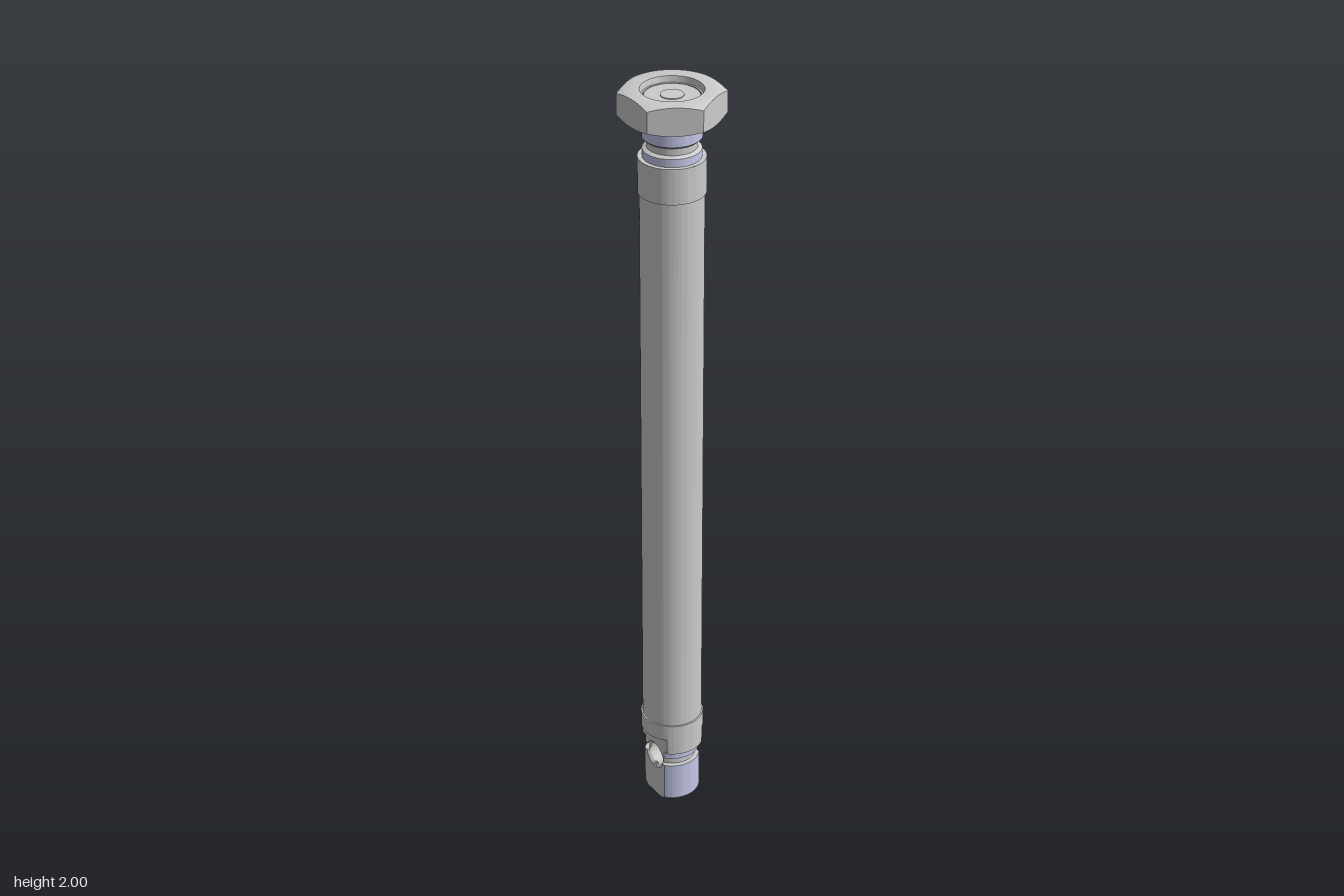
import * as THREE from 'three';
import { toCreasedNormals } from 'three/addons/utils/BufferGeometryUtils.js';
import { ParametricGeometry } from 'three/addons/geometries/ParametricGeometry.js';

const SEG = 96;
const grey = new THREE.MeshStandardMaterial({ color: 0xcccccc, side: THREE.DoubleSide });
const blue = new THREE.MeshStandardMaterial({ color: 0xc4c8e8, side: THREE.DoubleSide });

function add(parent, name, geometry, material = grey) {
  const mesh = new THREE.Mesh(toCreasedNormals(geometry, 0.5), material);
  mesh.name = name;
  parent.add(mesh);
  return mesh;
}

// Lathe whose vertices may be moved by a rule (vertex, index in the profile)
function turned(profile, rule, start = 0, length = Math.PI * 2) {
  const points = profile.map(([r, y]) => new THREE.Vector2(r, y));
  const geometry = new THREE.LatheGeometry(points, SEG, start, length);
  const pos = geometry.attributes.position;
  const v = new THREE.Vector3();
  if (rule) for (let i = 0; i < pos.count; i++) {
    rule(v.fromBufferAttribute(pos, i), i % profile.length);
    pos.setXYZ(i, v.x, v.y, v.z);
  }
  return geometry;
}

// End cap with a threaded air port at the back; optional flats on its lower half
const CAP_R = 0.081, CAP_H = 0.09, FLAT = 0.055, PORT_R = 0.02;
function endCap(name, y0, flats) {
  const cap = new THREE.Group();
  cap.name = name;
  const mid = y0 + CAP_H / 2, y1 = y0 + CAP_H;
  const clamp = (v) => { v.x = THREE.MathUtils.clamp(v.x, -FLAT, FLAT); };
  const half = 0.04, gap = Math.asin(half / CAP_R);
  const wall = [[CAP_R, y0], [CAP_R, mid], [CAP_R, mid], [CAP_R, y1]];
  add(cap, 'capWall', turned(wall, flats && ((v, j) => { if (j < 2) clamp(v); }),
    Math.PI + gap, Math.PI * 2 - 2 * gap));
  add(cap, 'capBottom', turned([[0, y0], [CAP_R, y0]], flats && clamp));
  add(cap, 'capTop', turned([[CAP_R, y1], [0, y1]]));
  // Curved patch running from the port circle out to a rectangle
  add(cap, 'portSurround', new ParametricGeometry((u, t, target) => {
    const side = Math.min(3, Math.floor(u * 4 + 1e-9)), s = (u * 4 - side) * 2 - 1;
    const [a, b] = [[1, s], [-s, 1], [-1, -s], [s, -1]][side];
    const ang = Math.atan2(b, a);
    const x = THREE.MathUtils.lerp(Math.cos(ang) * PORT_R, a * half, t);
    const y = THREE.MathUtils.lerp(Math.sin(ang) * PORT_R, b * CAP_H / 2, t);
    target.set(x, mid + y, -Math.sqrt(CAP_R * CAP_R - x * x));
  }, 64, 6));
  add(cap, 'portBore', new ParametricGeometry((u, t, target) => {
    const x = Math.cos(u * Math.PI * 2) * PORT_R, y = Math.sin(u * Math.PI * 2) * PORT_R;
    target.set(x, mid + y, -THREE.MathUtils.lerp(0.03, Math.sqrt(CAP_R * CAP_R - x * x), t));
  }, 48, 1), blue);
  const floor = add(cap, 'portFloor', new THREE.CircleGeometry(PORT_R, 48));
  floor.position.set(0, mid, -0.03);
  floor.rotation.y = Math.PI;
  return cap;
}

// Flat-sided clevis with a countersunk cross hole, lofted as two mirrored halves
function clevis() {
  const group = new THREE.Group();
  group.name = 'rearClevis';
  const yc = 0.122, N = 32;
  const profile = [[0.064, 0], [0.072, 0.01], [0.072, 0.084], [0.072, 0.092], [0.072, 0.115],
    [0.06, 0.115], [0.06, 0.137], [0.07, 0.137], [0.07, 0.152], [0.07, 0.16]];
  // Half height of the cross hole at a given x and y
  const hole = (x, y) => {
    const R = 0.03 + 0.008 * THREE.MathUtils.clamp((Math.abs(x) - 0.047) / 0.008, 0, 1);
    return Math.sqrt(Math.max(0, R * R - (y - yc) ** 2));
  };
  const rows = [];
  profile.forEach(([r, y], i) => {
    if (i) {
      const [r0, q0] = profile[i - 1], n = Math.max(1, Math.ceil((y - q0) / 0.0025));
      for (let k = 1; k < n; k++) rows.push([r0 + (r - r0) * k / n, q0 + (y - q0) * k / n]);
    }
    rows.push([r, y]);
  });
  const sections = rows.map(([r, y]) => {
    let w = FLAT;
    while (Math.sqrt(r * r - w * w) < hole(w, y)) w -= 0.0002;
    const outer = [], inner = [];
    for (let i = 0; i <= N; i++) {
      const x = w * (2 * i / N - 1);
      outer.push([x, y, Math.sqrt(r * r - x * x)]);
      inner.push([x, y, hole(x, y)]);
    }
    return { r, outer, inner };
  });
  const blueTris = [], greyTris = [];
  const quad = (list, a, b, c, d) => {
    for (const s of [1, -1]) {
      const order = s > 0 ? [a, b, c, a, c, d] : [a, c, b, a, d, c];
      for (const p of order) list.push(p[0], p[1], p[2] * s);
    }
  };
  for (let j = 0; j < sections.length - 1; j++) {
    const A = sections[j], B = sections[j + 1];
    const skin = A.r > 0.065 && B.r > 0.065 ? blueTris : greyTris;
    for (let i = 0; i < N; i++) {
      quad(skin, A.outer[i], A.outer[i + 1], B.outer[i + 1], B.outer[i]);
      if (A.inner[i][2] + B.inner[i][2] + A.inner[i + 1][2] + B.inner[i + 1][2] > 0)
        quad(greyTris, A.inner[i + 1], A.inner[i], B.inner[i], B.inner[i + 1]);
    }
    quad(greyTris, A.outer[N], A.inner[N], B.inner[N], B.outer[N]);
    quad(greyTris, A.inner[0], A.outer[0], B.outer[0], B.inner[0]);
  }
  const base = sections[0];
  for (let i = 0; i < N; i++)
    quad(greyTris, base.inner[i], base.inner[i + 1], base.outer[i + 1], base.outer[i]);
  const build = (tris) => new THREE.BufferGeometry()
    .setAttribute('position', new THREE.Float32BufferAttribute(tris, 3));
  add(group, 'clevisRoundFaces', build(blueTris), blue);
  add(group, 'clevisFlatsAndHole', build(greyTris));
  return group;
}

// Chamfered hexagonal nut: outer lathe vertices pushed out to the hexagon
function hexNut() {
  const across = 0.111, y0 = 1.93, y1 = 2;
  const profile = [[0.068, 1.985], [0.068, y0], [across, y0], [across, y0], [across, y1],
    [across, y1], [0.075, y1], [0.072, 1.985], [0.068, 1.985]];
  return turned(profile, (v, j) => {
    if (j !== 3 && j !== 4) return;
    const sector = Math.PI / 3;
    const ang = (Math.atan2(v.x, v.z) + Math.PI * 2 + 1e-6) % sector - sector / 2;
    const k = 1 / Math.cos(ang), drop = across * (k - 1) * 0.5;
    v.x *= k;
    v.z *= k;
    v.y += j === 3 ? drop : -drop;
  });
}

export function createModel() {
  const model = new THREE.Group();
  model.name = 'pneumaticCylinder';

  // Barrel and end caps
  add(model, 'barrel', new THREE.CylinderGeometry(0.077, 0.077, 1.5, SEG, 1, true)).position.y = 1;
  model.add(endCap('rearCap', 0.16, true), endCap('frontCap', 1.745, false), clevis());

  // Threaded front neck with its relief groove
  add(model, 'neckCollar', turned([[0.07, 1.835], [0.07, 1.855]]), blue);
  add(model, 'neckGroove', turned([[0.07, 1.855], [0.06, 1.86], [0.06, 1.88], [0.066, 1.88]]));
  add(model, 'neckThread', turned([[0.066, 1.88], [0.071, 1.885], [0.071, 1.93], [0.068, 1.93],
    [0.068, 1.98], [0.065, 1.985]]), blue);
  add(model, 'neckFace', turned([[0.065, 1.985], [0.028, 1.985]]));

  // Retracted rod end and mounting nut
  add(model, 'rodEnd', turned([[0.028, 1.95], [0.028, 1.987], [0, 1.987]]));
  add(model, 'mountingNut', hexNut());
  return model;
}
